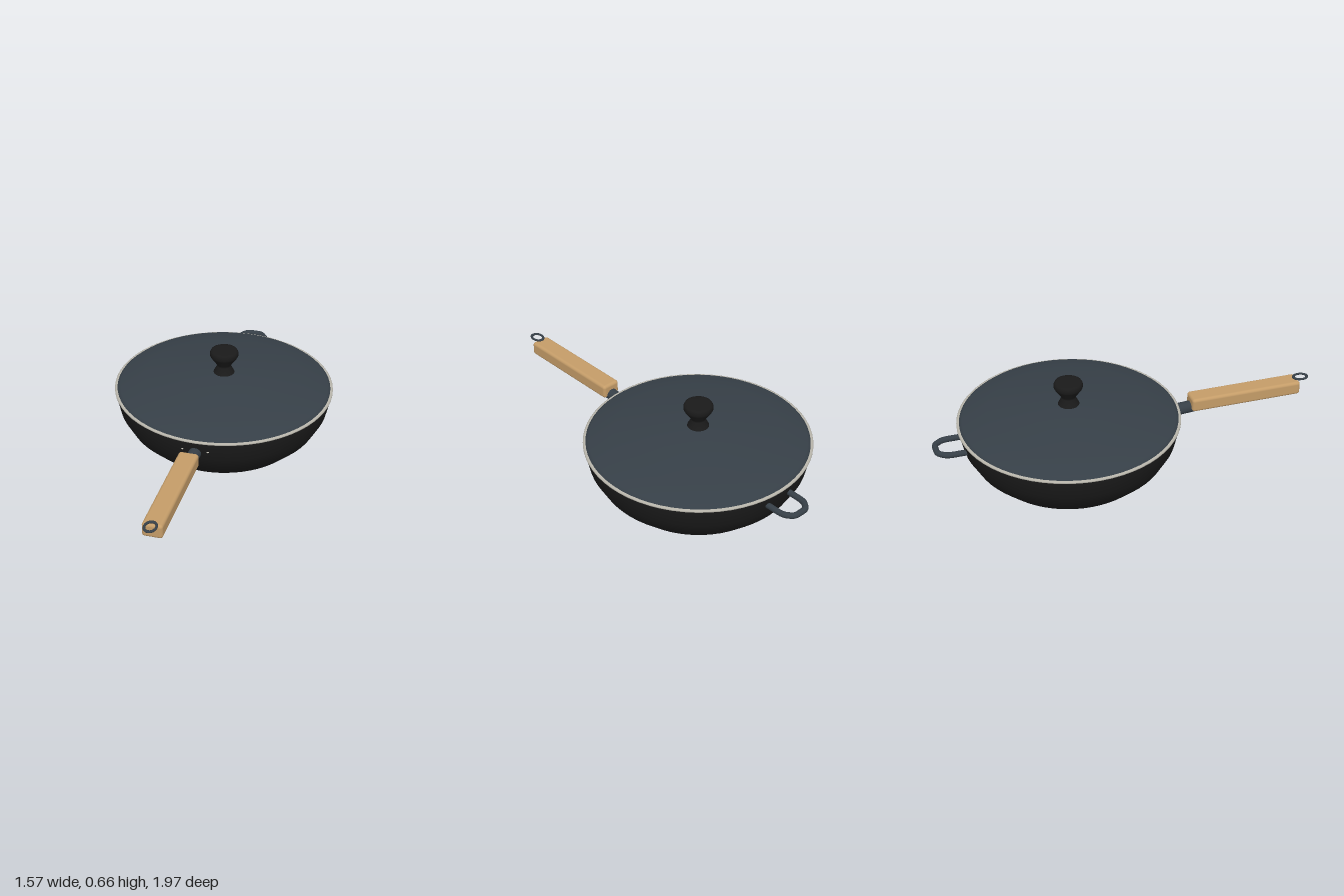
import * as THREE from 'three';
import { RoundedBoxGeometry } from 'three/addons/geometries/RoundedBoxGeometry.js';

const material = (name, color) => Object.assign(new THREE.MeshStandardMaterial({ color }), { name });

export function createModel() {
  const black = material('black enamel', 0x1a1a1a);
  const slate = material('slate metal', 0x363f47);
  const rimGrey = material('rim grey', 0xb8b5ab);
  const wood = material('wood', 0xc49c68);

  const model = new THREE.Group();
  model.name = 'coveredPan';

  // Everything is built around the pan axis, with the long handle along +z
  const pan = new THREE.Group();
  pan.name = 'pan';
  pan.position.set(-0.115, 0, -0.287);
  pan.rotation.y = THREE.MathUtils.degToRad(35);
  model.add(pan);

  const add = (name, geometry, mat, x = 0, y = 0, z = 0) => {
    const mesh = new THREE.Mesh(geometry, mat);
    mesh.name = name;
    mesh.position.set(x, y, z);
    pan.add(mesh);
    return mesh;
  };
  const lathe = (points, segments = 64) =>
    new THREE.LatheGeometry(points.map(([r, y]) => new THREE.Vector2(r, y)), segments);

  // Bowl: outer wall, lip and inner wall
  add('bowl', lathe([
    [0, 0], [0.23, 0], [0.28, 0.004], [0.375, 0.03], [0.487, 0.09], [0.58, 0.18],
    [0.636, 0.28], [0.664, 0.404], [0.645, 0.404], [0.617, 0.28], [0.56, 0.19],
    [0.47, 0.105], [0.36, 0.047], [0.23, 0.02], [0, 0.02],
  ]), black);

  // Pale rim band between bowl and lid
  add('rim', lathe([
    [0.645, 0.4], [0.662, 0.4], [0.668, 0.404], [0.668, 0.411], [0.662, 0.414], [0.645, 0.414],
  ]), rimGrey);

  // Domed lid
  add('lid', lathe([
    [0, 0.485], [0.25, 0.472], [0.48, 0.445], [0.65, 0.408], [0.655, 0.412], [0.635, 0.428],
    [0.49, 0.463], [0.27, 0.49], [0.13, 0.504], [0, 0.506],
  ]), slate);

  // Waisted knob
  add('knob', lathe([
    [0.066, 0.498], [0.062, 0.51], [0.042, 0.548], [0.046, 0.562], [0.08, 0.61], [0.086, 0.622],
    [0.086, 0.64], [0.08, 0.652], [0.068, 0.657], [0, 0.658],
  ], 40), black);

  // Metal neck joining the bowl to the wooden grip
  const neckPath = new THREE.LineCurve3(new THREE.Vector3(0, 0.322, 0.57), new THREE.Vector3(0, 0.336, 0.79));
  add('handleNeck', new THREE.TubeGeometry(neckPath, 1, 0.037, 20), slate);

  // Small rivets on each side of the neck
  for (const side of [-1, 1]) {
    const rivet = add('rivet', new THREE.SphereGeometry(0.008, 12, 8), rimGrey, side * 0.076, 0.342, 0.643);
    rivet.scale.y = 0.6;
  }

  // Wooden grip
  add('handleGrip', new RoundedBoxGeometry(0.118, 0.086, 0.71, 4, 0.018), wood, 0, 0.367, 1.12);

  // Oval hanging ring lying on the end of the grip
  const ring = add('hangingRing', new THREE.TorusGeometry(0.036, 0.008, 10, 32), slate, 0, 0.414, 1.495);
  ring.rotation.x = Math.PI / 2;
  ring.scale.set(0.9, 1.2, 0.8);

  // Helper loop on the far side
  const loop = new THREE.CurvePath();
  const corners = [[-0.085, 0.6], [-0.085, 0.755], [-0.045, 0.808], [0.045, 0.808], [0.085, 0.755], [0.085, 0.6]]
    .map(([x, a]) => new THREE.Vector3(x, 0.342, -a));
  let start = corners[0];
  for (let i = 1; i < corners.length - 1; i++) {
    const before = corners[i].clone().lerp(corners[i - 1], 0.3);
    const after = corners[i].clone().lerp(corners[i + 1], 0.3);
    loop.add(new THREE.LineCurve3(start, before));
    loop.add(new THREE.QuadraticBezierCurve3(before, corners[i], after));
    start = after;
  }
  loop.add(new THREE.LineCurve3(start, corners[5]));
  add('helperHandle', new THREE.TubeGeometry(loop, 60, 0.018, 12), slate);

  return model;
}
